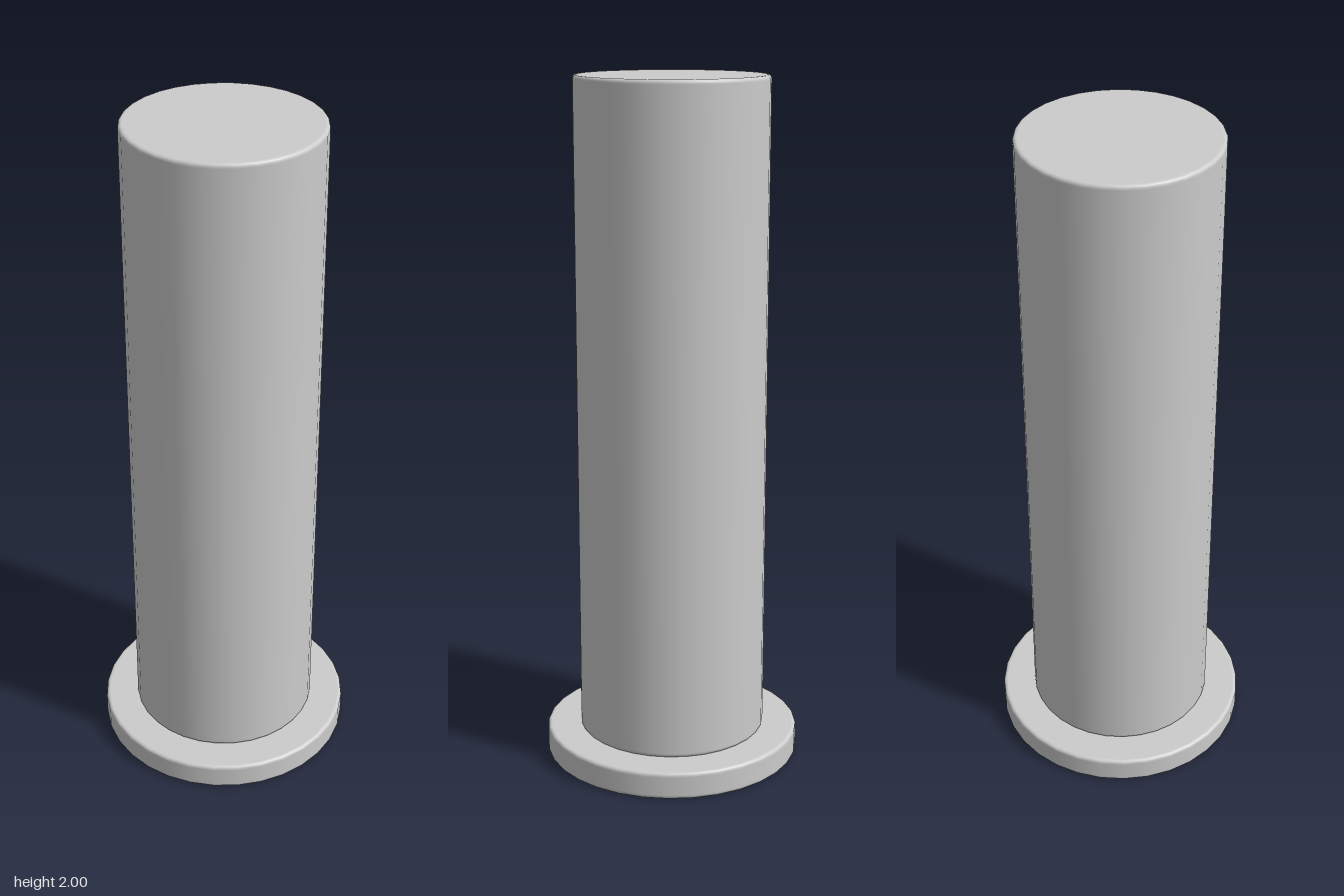
import * as THREE from 'three';

const SIDES = 32;

// Solid disc or column with softly rounded rims, standing from y0 to y1
function roundedCylinder(name, radius, y0, y1, bevel) {
  const steps = 4;
  const inner = radius - bevel;
  const points = [new THREE.Vector2(0, y0), new THREE.Vector2(inner - 0.003, y0)];
  const arc = (cy, from) => {
    for (let i = 0; i <= steps; i++) {
      const a = from + (i / steps) * Math.PI / 2;
      points.push(new THREE.Vector2(inner + bevel * Math.cos(a), cy + bevel * Math.sin(a)));
    }
  };
  arc(y0 + bevel, -Math.PI / 2);
  // extra rings keep the long wall and the flat caps evenly shaded
  points.push(new THREE.Vector2(radius, y0 + bevel + 0.003));
  points.push(new THREE.Vector2(radius, y1 - bevel - 0.003));
  arc(y1 - bevel, 0);
  points.push(new THREE.Vector2(inner - 0.003, y1), new THREE.Vector2(0, y1));

  const mesh = new THREE.Mesh(
    new THREE.LatheGeometry(points, SIDES),
    new THREE.MeshStandardMaterial({ color: 0xcccccc })
  );
  mesh.name = name;
  return mesh;
}

export function createModel() {
  const group = new THREE.Group();
  group.name = 'flangedPin';
  // Wide flat foot
  group.add(roundedCylinder('baseFlange', 0.375, 0, 0.08, 0.01));
  // Tall shaft resting on the foot
  group.add(roundedCylinder('shaft', 0.275, 0.08, 2, 0.01));
  return group;
}
